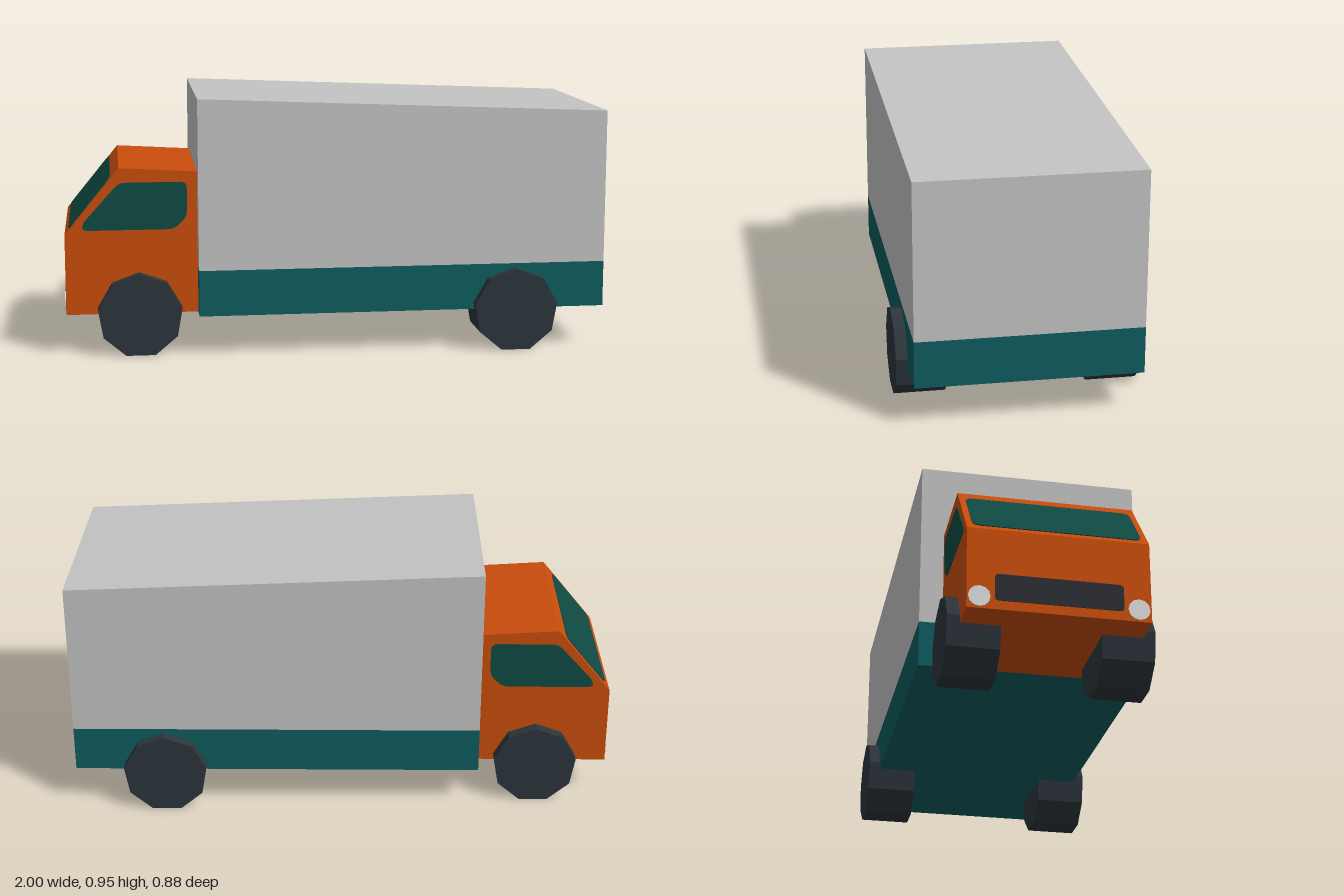
import * as THREE from 'three';

const mat = (name, color) => {
  const m = new THREE.MeshStandardMaterial({ color });
  m.name = name;
  return m;
};

// Closed shape with softly rounded corners
function roundedShape(points, r) {
  const pts = points.map(([x, y]) => new THREE.Vector2(x, y));
  const toward = (a, b) => {
    const d = b.clone().sub(a);
    return a.clone().add(d.setLength(Math.min(r, d.length() * 0.45)));
  };
  const shape = new THREE.Shape();
  pts.forEach((p, i) => {
    const start = toward(p, pts[(i + pts.length - 1) % pts.length]);
    const end = toward(p, pts[(i + 1) % pts.length]);
    if (i === 0) shape.moveTo(start.x, start.y);
    else shape.lineTo(start.x, start.y);
    shape.quadraticCurveTo(p.x, p.y, end.x, end.y);
  });
  shape.closePath();
  return shape;
}

const rect = (w, y0, y1) => [[-w, y0], [w, y0], [w, y1], [-w, y1]];

export function createModel() {
  const truck = new THREE.Group();
  truck.name = 'truck';

  const orange = mat('cab orange', 0xc94d0c);
  const teal = mat('chassis teal', 0x0e5c5f);
  const grey = mat('cargo grey', 0xc3c3c3);
  const glass = mat('dark green glass', 0x0f4a42);
  const rubber = mat('tyre', 0x2c353b);
  const dark = mat('grille dark', 0x2b2e36);
  const lamp = mat('lamp', 0xdedede);

  const add = (name, geometry, material, parent = truck) => {
    const mesh = new THREE.Mesh(geometry, material);
    mesh.name = name;
    parent.add(mesh);
    return mesh;
  };
  const extrude = (shape, depth) =>
    new THREE.ExtrudeGeometry(shape, { depth, bevelEnabled: false, curveSegments: 4 });
  // Side profile extruded across the full width
  const body = (points, halfWidth) =>
    extrude(new THREE.Shape(points.map(([x, y]) => new THREE.Vector2(x, y))), halfWidth * 2)
      .translate(0, 0, -halfWidth);

  // Cab, chassis and sloping cargo box
  const cabHalf = 0.315;
  add('cab', body([[-1, 0.15], [-0.515, 0.15], [-0.515, 0.675], [-0.8, 0.692], [-1, 0.447]], cabHalf), orange);
  add('chassis', body([[-0.515, 0.15], [1, 0.15], [1, 0.32], [-0.515, 0.32]], 0.4), teal);
  add('cargoBox', body([[-0.515, 0.32], [1, 0.32], [1, 0.887], [-0.515, 0.949]], 0.4), grey);

  // Side windows
  const plate = 0.003;
  const sideWindow = roundedShape([[-0.935, 0.463], [-0.6, 0.463], [-0.552, 0.51],
    [-0.552, 0.638], [-0.8, 0.638], [-0.935, 0.488]], 0.025);
  for (const [name, z] of [['leftWindow', cabHalf], ['rightWindow', -cabHalf - plate]]) {
    add(name, extrude(sideWindow, plate), glass).position.z = z;
  }

  // Frames lying on the sloped and upright faces of the cab nose
  const noseFrame = (name, up, y) => {
    const across = new THREE.Vector3(0, 0, 1);
    const frame = new THREE.Group();
    frame.name = name;
    frame.quaternion.setFromRotationMatrix(
      new THREE.Matrix4().makeBasis(across, up, new THREE.Vector3().crossVectors(across, up)));
    frame.position.set(-1, y, 0);
    truck.add(frame);
    return frame;
  };
  const slope = noseFrame('windscreenFrame', new THREE.Vector3(0.2, 0.245, 0).normalize(), 0.447);
  add('windscreen', extrude(roundedShape(rect(0.293, 0.024, 0.268), 0.03), plate), glass, slope);

  const nose = noseFrame('noseFrame', new THREE.Vector3(0, 1, 0), 0);
  add('grille', extrude(roundedShape(rect(0.22, 0.183, 0.28), 0.015), plate), dark, nose);
  for (const side of [-1, 1]) {
    const headlight = new THREE.CylinderGeometry(0.038, 0.038, plate, 12).rotateX(Math.PI / 2);
    add(side > 0 ? 'leftHeadlight' : 'rightHeadlight', headlight, lamp, nose)
      .position.set(side * 0.272, 0.194, plate / 2);
  }

  // Nine-sided wheels resting on a flat facet
  const radius = 0.157;
  const wheel = new THREE.CylinderGeometry(radius, radius, 0.185, 9).rotateX(-Math.PI / 2).toNonIndexed();
  wheel.computeVertexNormals();
  for (const [axle, x, z] of [['front', -0.73, 0.267], ['rear', 0.66, 0.348]]) {
    for (const side of [-1, 1]) {
      add(axle + (side > 0 ? 'LeftWheel' : 'RightWheel'), wheel, rubber)
        .position.set(x, radius * Math.cos(Math.PI / 9), side * z);
    }
  }
  return truck;
}
